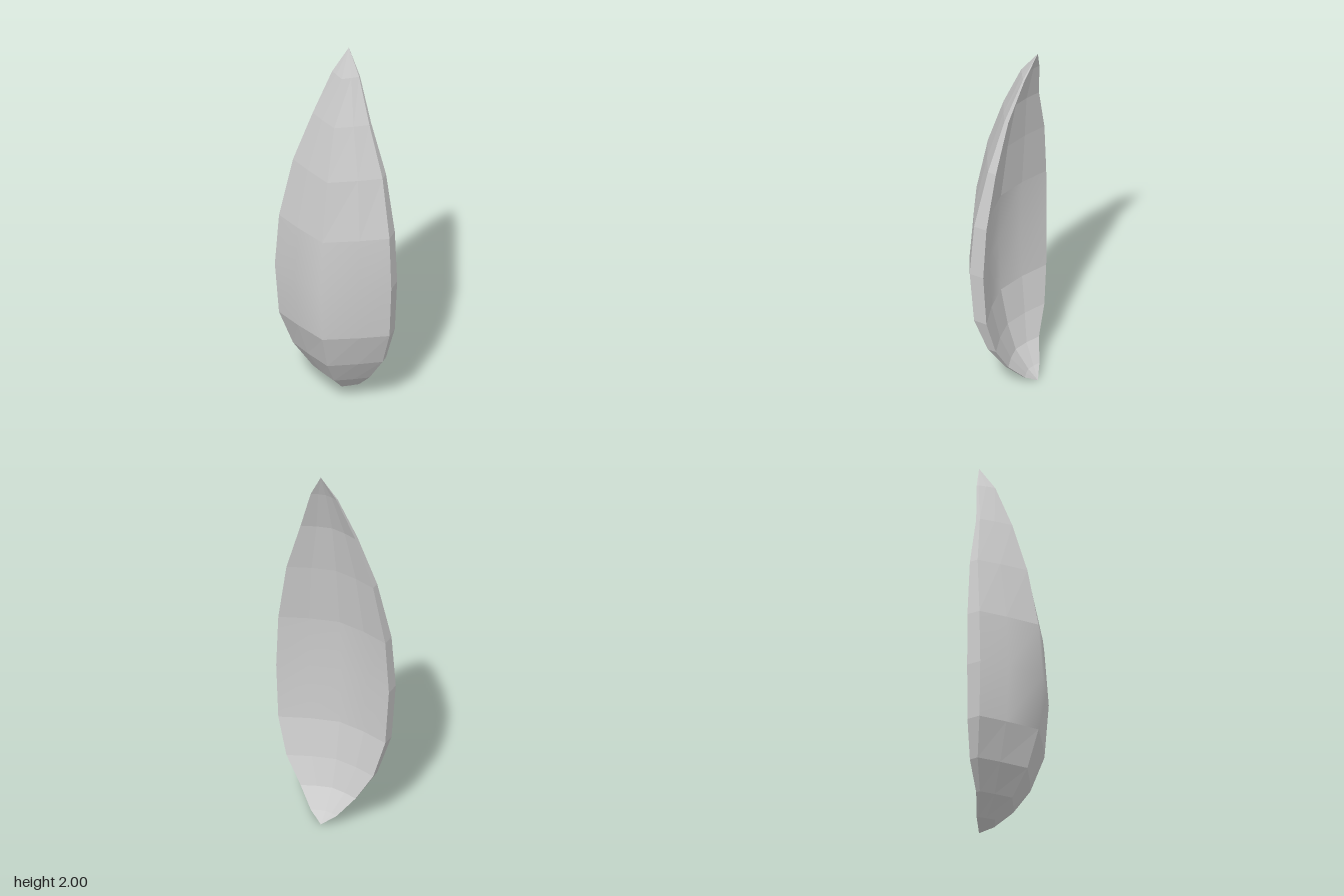
import * as THREE from 'three';

// Levels: height, half width, then depth of ridge, front edge and back edge
const TIP = [0, -0.188, -0.188, -0.188];
const RINGS = [
  [0.072, -0.092, -0.145, -0.155],
  [0.152, 0.009, -0.084, -0.106],
  [0.24, 0.099, -0.04, -0.086],
  [0.296, 0.165, 0.007, -0.064],
];
const WIDEST = [0.312, 0.19, 0.0226, -0.055];
const PROFILE = [TIP, ...RINGS, WIDEST, ...[...RINGS].reverse(), TIP];
const HEIGHTS = [0, 0.05, 0.145, 0.285, 0.48, 0.77, 1.055, 1.37, 1.64, 1.87, 2];

// The blade is turned about the vertical axis
const T = new THREE.Vector2(0.939, -0.345); // across, as (x, z)
const N = new THREE.Vector2(0.345, 0.939); // outward, as (x, z)

// Closed section: ridged front from left to right, hollow back from right to left
function section([w, ridge, front, back], y) {
  const bulge = 0.02 * w;
  const hollow = 0.298 * w;
  const frontMid = THREE.MathUtils.lerp(ridge, front, 0.56) + bulge;
  const pts = [
    [-w, front], [-0.56 * w, frontMid], [0, ridge], [0.56 * w, frontMid], [w, front],
    [w, back], [0.51 * w, back + 0.62 * hollow], [0, back + hollow],
    [-0.51 * w, back + 0.62 * hollow], [-w, back],
  ];
  return pts.map(([t, n]) => {
    const s = t + 0.005;
    return new THREE.Vector3(T.x * s + N.x * n, y, T.y * s + N.y * n);
  });
}

const SECTIONS = PROFILE.map((p, i) => section(p, HEIGHTS[i]));

// Skin between two levels, over the section points from first to last
function skin(name, low, high, first, last, smooth) {
  const cols = last - first + 1;
  const pos = [];
  const index = [];
  for (let i = low; i <= high; i++) {
    for (let j = first; j <= last; j++) pos.push(...SECTIONS[i][j % 10].toArray());
  }
  for (let i = 0; i < high - low; i++) {
    for (let j = 0; j < cols - 1; j++) {
      const a = i * cols + j;
      const d = a + cols;
      if (low + i > 0) index.push(a, a + 1, d + 1); // skip collapsed faces at the points
      else index.push(a, d + 1, d);
      if (low + i > 0 && low + i < HEIGHTS.length - 2) index.push(a, d + 1, d);
    }
  }
  let geo = new THREE.BufferGeometry();
  geo.setAttribute('position', new THREE.Float32BufferAttribute(pos, 3));
  geo.setIndex(index);
  if (!smooth) geo = geo.toNonIndexed();
  geo.computeVertexNormals();
  const mesh = new THREE.Mesh(geo, new THREE.MeshStandardMaterial({ color: 0xcccccc, flatShading: !smooth }));
  mesh.name = name;
  return mesh;
}

export function createModel() {
  const group = new THREE.Group();
  group.name = 'leafBlade';
  // Faceted ends with a smooth band around the middle
  for (const [part, low, high, smooth] of [['lower', 0, 4, false], ['middle', 4, 6, true], ['upper', 6, 10, false]]) {
    group.add(
      skin(part + 'Front', low, high, 0, 4, smooth),
      skin(part + 'Back', low, high, 5, 9, smooth),
    );
  }
  // Narrow rims along both sides
  group.add(skin('leftRim', 0, 10, 4, 5, false), skin('rightRim', 0, 10, 9, 10, false));
  return group;
}
